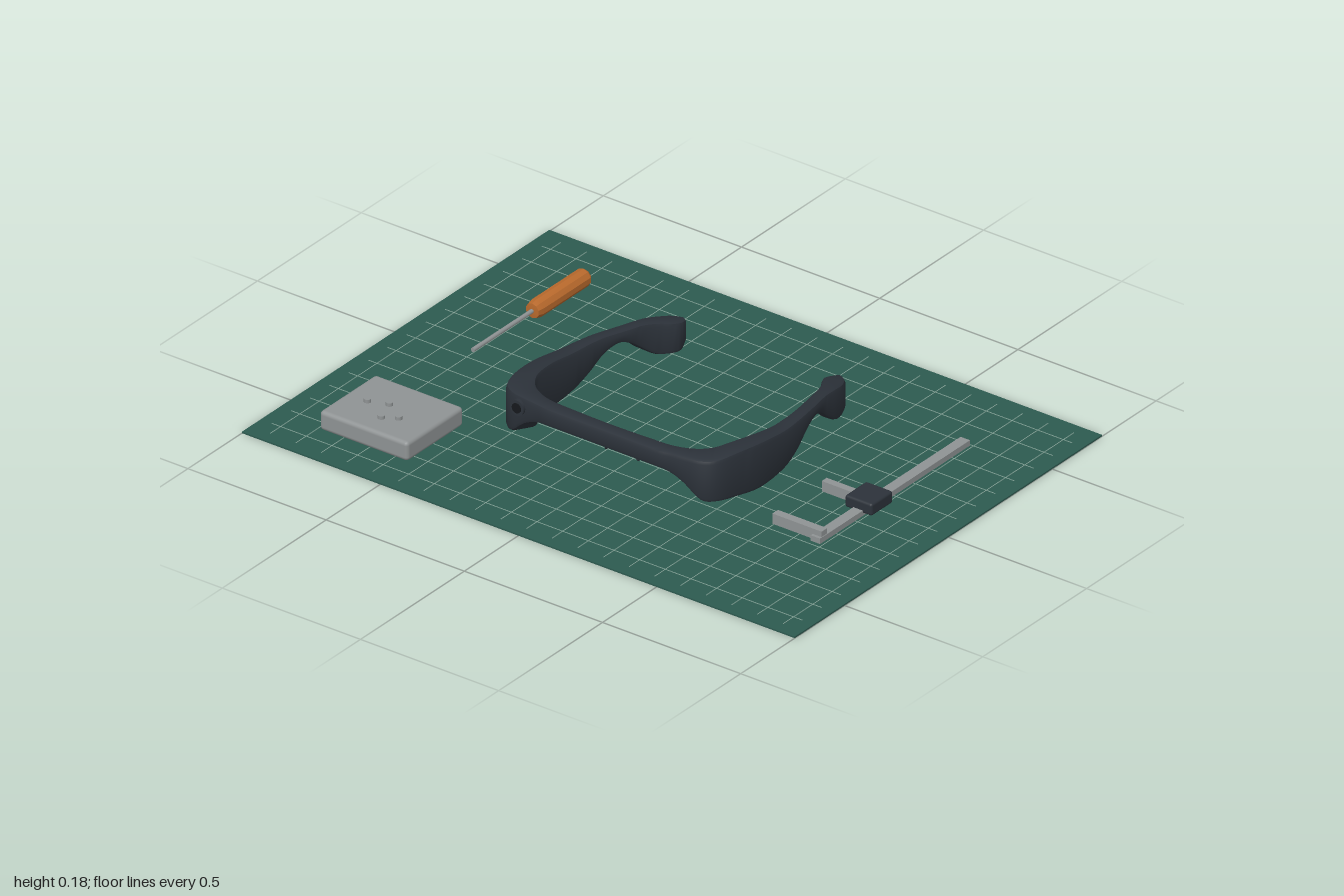
import * as THREE from 'three';
import { toCreasedNormals, mergeGeometries } from 'three/addons/utils/BufferGeometryUtils.js';
import { RoundedBoxGeometry } from 'three/addons/geometries/RoundedBoxGeometry.js';

const material = (name, color) => {
  const m = new THREE.MeshStandardMaterial({ color });
  m.name = name;
  return m;
};

// Half of the frame, front centre to temple tip:
// outer x, outer z, inner x, inner z, top y, bottom y
const STATIONS = [
  [0, 0.345, 0, 0.295, 0.175, 0.115],
  [0.18, 0.345, 0.175, 0.29, 0.175, 0.115],
  [0.24, 0.338, 0.225, 0.285, 0.175, 0.108],
  [0.29, 0.332, 0.265, 0.272, 0.175, 0.085],
  [0.345, 0.32, 0.3, 0.25, 0.175, 0.04],
  [0.383, 0.288, 0.325, 0.22, 0.176, 0.035],
  [0.402, 0.22, 0.34, 0.18, 0.177, 0.028],
  [0.412, 0.12, 0.352, 0.1, 0.168, 0.015],
  [0.408, 0, 0.355, 0, 0.152, 0.022],
  [0.4, -0.075, 0.352, -0.075, 0.148, 0.048],
  [0.39, -0.135, 0.345, -0.135, 0.145, 0.085],
  [0.378, -0.19, 0.333, -0.19, 0.14, 0.1],
  [0.366, -0.24, 0.322, -0.235, 0.136, 0.085],
  [0.358, -0.28, 0.312, -0.28, 0.132, 0.05],
  [0.35, -0.33, 0.293, -0.325, 0.124, 0.017],
  [0.338, -0.375, 0.265, -0.37, 0.113, 0.01],
  [0.318, -0.412, 0.26, -0.398, 0.106, 0.012],
  [0.295, -0.433, 0.268, -0.425, 0.1, 0.025],
];

// Sweeps a rounded rectangle along the U of the frame
function frameGeometry() {
  const mirrored = STATIONS.slice(1).reverse().map(([ox, oz, ix, iz, t, b]) => [-ox, oz, -ix, iz, t, b]);
  const all = [...mirrored, ...STATIONS];
  const outer = new THREE.CatmullRomCurve3(all.map((s) => new THREE.Vector3(s[0], s[4], s[1])), false, 'catmullrom');
  const inner = new THREE.CatmullRomCurve3(all.map((s) => new THREE.Vector3(s[2], s[5], s[3])), false, 'catmullrom');
  const rings = (all.length - 1) * 4;
  const corner = 3;
  const count = corner * 4;
  const position = [];
  const index = [];
  for (let i = 0; i <= rings; i++) {
    const o = outer.getPoint(i / rings);
    const n = inner.getPoint(i / rings);
    const width = Math.hypot(o.x - n.x, o.z - n.z);
    const height = o.y - n.y;
    const r = Math.min(0.013, width * 0.4, height * 0.4);
    // corners: outer bottom, outer top, inner top, inner bottom
    [[r, r, 1.5], [r, height - r, 1], [width - r, height - r, 0.5], [width - r, r, 0]].forEach(([cu, cv, turn]) => {
      for (let k = 0; k < corner; k++) {
        const a = Math.PI * (turn - (k / (corner - 1)) * 0.5);
        const u = (cu + r * Math.cos(a)) / width;
        const v = cv + r * Math.sin(a);
        position.push(o.x + (n.x - o.x) * u, n.y + v, o.z + (n.z - o.z) * u);
      }
    });
  }
  for (let i = 0; i < rings; i++) {
    for (let j = 0; j < count; j++) {
      const a = i * count + j;
      const b = i * count + ((j + 1) % count);
      index.push(a, a + count, b + count, a, b + count, b);
    }
  }
  const last = rings * count;
  for (let j = 1; j < count - 1; j++) {
    index.push(0, j, j + 1, last, last + j + 1, last + j);
  }
  const g = new THREE.BufferGeometry();
  g.setAttribute('position', new THREE.Float32BufferAttribute(position, 3));
  g.setIndex(index);
  return toCreasedNormals(g, 0.6);
}

export function createModel() {
  const model = new THREE.Group();
  const mat = material('matGreen', 0x2d5a50);
  const line = material('lineGreen', 0x7f9f93);
  const dark = material('charcoal', 0x2c323a);
  const black = material('lensBlack', 0x15181c);
  const grey = material('metalGrey', 0x8f9394);
  const orange = material('handleOrange', 0xb8692c);

  const add = (name, geometry, mtl, x = 0, y = 0, z = 0, parent = model) => {
    const mesh = new THREE.Mesh(geometry, mtl);
    mesh.name = name;
    mesh.position.set(x, y, z);
    parent.add(mesh);
    return mesh;
  };
  const group = (name) => {
    const g = new THREE.Group();
    g.name = name;
    model.add(g);
    return g;
  };
  // Box given by its limits
  const span = (name, mtl, [x0, x1], [y0, y1], [z0, z1], parent, round = 0) => {
    const size = [x1 - x0, y1 - y0, z1 - z0];
    const g = round ? new RoundedBoxGeometry(...size, 2, round) : new THREE.BoxGeometry(...size);
    return add(name, g, mtl, (x0 + x1) / 2, (y0 + y1) / 2, (z0 + z1) / 2, parent);
  };

  // Cutting mat with a printed grid
  span('cuttingMat', mat, [-1, 1], [0, 0.005], [-0.74, 0.74]);
  const step = 0.0928;
  const lines = [];
  for (let i = -10; i <= 10; i++) {
    lines.push(new THREE.BoxGeometry(0.0025, 0.001, 1.4).translate(i * step, 0.0055, 0));
    if (Math.abs(i) <= 7) lines.push(new THREE.BoxGeometry(1.92, 0.001, 0.0025).translate(0, 0.0055, i * step));
  }
  add('matGrid', mergeGeometries(lines), line);

  // Spectacle frame
  const glasses = group('glasses');
  add('frame', frameGeometry(), dark, 0, 0, 0, glasses);
  for (const s of [-1, 1]) {
    const arm = new THREE.CatmullRomCurve3([
      new THREE.Vector3(s * 0.03, 0.13, 0.3),
      new THREE.Vector3(s * 0.034, 0.105, 0.275),
      new THREE.Vector3(s * 0.043, 0.07, 0.25),
      new THREE.Vector3(s * 0.058, 0.048, 0.235),
    ]);
    add('nosePadArm', new THREE.TubeGeometry(arm, 12, 0.006, 8), dark, 0, 0, 0, glasses);
    const pad = add('nosePad', new THREE.SphereGeometry(0.01, 12, 8), dark, s * 0.054, 0.057, 0.238, glasses);
    pad.scale.set(0.7, 1.7, 1);
    pad.rotation.z = s * 0.4;
  }

  // Camera on the front corner
  const camera = group('camera');
  const barrel = add('cameraBarrel', new THREE.CylinderGeometry(0.025, 0.025, 0.03, 20), dark, -0.305, 0.14, 0.327, camera);
  const lens = add('cameraLens', new THREE.CylinderGeometry(0.016, 0.016, 0.004, 20), black, -0.305, 0.14, 0.343, camera);
  barrel.rotation.x = lens.rotation.x = Math.PI / 2;

  // Screwdriver lying along z
  const driver = group('screwdriver');
  const profile = [[0, -0.128], [0.024, -0.128], [0.029, -0.12], [0.029, 0.105], [0.024, 0.125], [0, 0.128]];
  const handle = add('screwdriverHandle',
    toCreasedNormals(new THREE.LatheGeometry(profile.map((p) => new THREE.Vector2(...p)), 10), 0.3),
    orange, -0.721, 0.036, -0.412, driver);
  const shaft = add('screwdriverShaft', new THREE.CylinderGeometry(0.007, 0.007, 0.29, 12), grey, -0.721, 0.036, -0.145, driver);
  handle.rotation.x = shaft.rotation.x = Math.PI / 2;

  // Small device with four studs
  const device = group('device');
  span('deviceCase', grey, [-0.825, -0.505], [0.008, 0.072], [0.33, 0.602], device, 0.013);
  for (const [x, z] of [[-0.745, 0.475], [-0.682, 0.453], [-0.612, 0.502], [-0.655, 0.528]]) {
    add('stud', new THREE.CylinderGeometry(0.011, 0.011, 0.014, 16), grey, x, 0.076, z, device);
  }

  // Sliding caliper
  const caliper = group('caliper');
  span('caliperBeam', grey, [0.706, 0.74], [0.012, 0.03], [-0.45, 0.272], caliper);
  span('fixedJaw', grey, [0.56, 0.738], [0.014, 0.048], [0.235, 0.262], caliper);
  span('slidingJaw', grey, [0.56, 0.69], [0.014, 0.048], [0, 0.024], caliper);
  span('slider', dark, [0.674, 0.772], [0.02, 0.06], [-0.038, 0.066], caliper, 0.008);

  return model;
}
